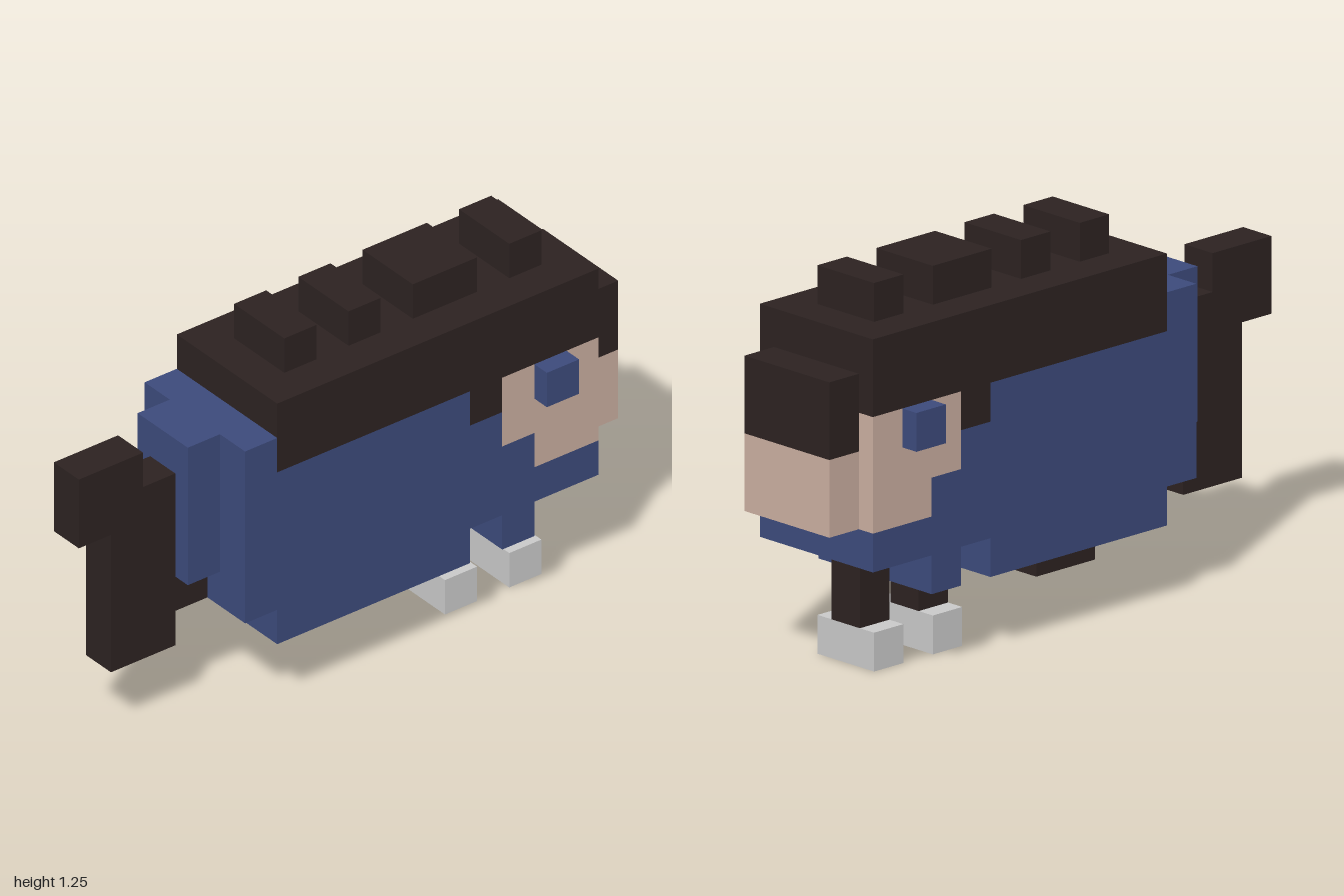
import * as THREE from 'three';

const U = 0.125; // one block

const mat = (name, color) => {
  const m = new THREE.MeshStandardMaterial({ color });
  m.name = name;
  return m;
};

export function createModel() {
  const dark = mat('dark brown', 0x2c2221);
  const blue = mat('blue', 0x3c4a7b);
  const skin = mat('pale skin', 0xc9ad9f);
  const grey = mat('light grey', 0xc8c8c8);

  const model = new THREE.Group();
  model.name = 'blockFish';

  const add = (name, geometry, material) => {
    const mesh = new THREE.Mesh(geometry, material);
    mesh.name = name;
    model.add(mesh);
    return mesh;
  };

  // Side outline in blocks, extruded symmetrically across z
  const slab = (name, material, halfDepth, points) => {
    const shape = new THREE.Shape(points.map(([x, y]) => new THREE.Vector2(x * U, y * U)));
    const geometry = new THREE.ExtrudeGeometry(shape, { depth: halfDepth * 2 * U, bevelEnabled: false });
    geometry.translate(0, 0, -halfDepth * U);
    return add(name, geometry, material);
  };

  // Box from block limits, centred on z
  const block = (name, material, x0, x1, y0, y1, halfDepth) => {
    const geometry = new THREE.BoxGeometry((x1 - x0) * U, (y1 - y0) * U, halfDepth * 2 * U);
    const mesh = add(name, geometry, material);
    mesh.position.set((x0 + x1) / 2 * U, (y0 + y1) / 2 * U, 0);
    return mesh;
  };

  // Body, back and face share one thickness and interlock
  slab('body', blue, 2, [
    [-4, 3], [-3, 3], [-3, 2], [3, 2], [3, 3], [4, 3], [4, 2], [5, 2], [5, 3], [7, 3],
    [7, 4], [5, 4], [5, 5], [4, 5], [4, 6], [3, 6], [3, 7], [-3, 7], [-3, 8], [-4, 8],
  ]);
  slab('back', dark, 2, [[-3, 7], [3, 7], [3, 6], [4, 6], [4, 7], [7, 7], [7, 9], [-3, 9]]);
  slab('face', skin, 2, [[4, 5], [5, 5], [5, 4], [7, 4], [7, 7], [4, 7]]);

  // Snout
  block('snoutTop', dark, 7, 8, 6, 8, 1.5);
  block('snoutLower', skin, 7, 8, 4, 6, 1.5);

  // Eyes
  for (const [name, side] of [['leftSideEye', 1], ['rightSideEye', -1]]) {
    const eye = block(name, blue, 5, 6, 6, 7, 0.25);
    eye.position.z = side * 2.25 * U;
  }

  // Ridge along the back
  for (const [x0, x1] of [[-2, -1], [0, 1], [2, 4], [5, 6]]) {
    block('backRidge', dark, x0, x1, 9, 10, 1);
  }

  // Tail
  block('tailRoot', blue, -5, -4, 4, 8, 1);
  slab('tailFin', dark, 0.5, [
    [-7, 2], [-5, 2], [-5, 3], [-4, 3], [-4, 4], [-5, 4],
    [-5, 7], [-6, 7], [-6, 8], [-8, 8], [-8, 6], [-7, 6],
  ]);

  // Belly fin, legs and feet
  block('bellyFin', dark, -2, 0, 1, 2, 0.5);
  for (const x of [3, 5]) {
    block('leg', dark, x, x + 1, 1, 3, 0.5);
    block('foot', grey, x, x + 1, 0, 1, 1);
  }

  return model;
}
